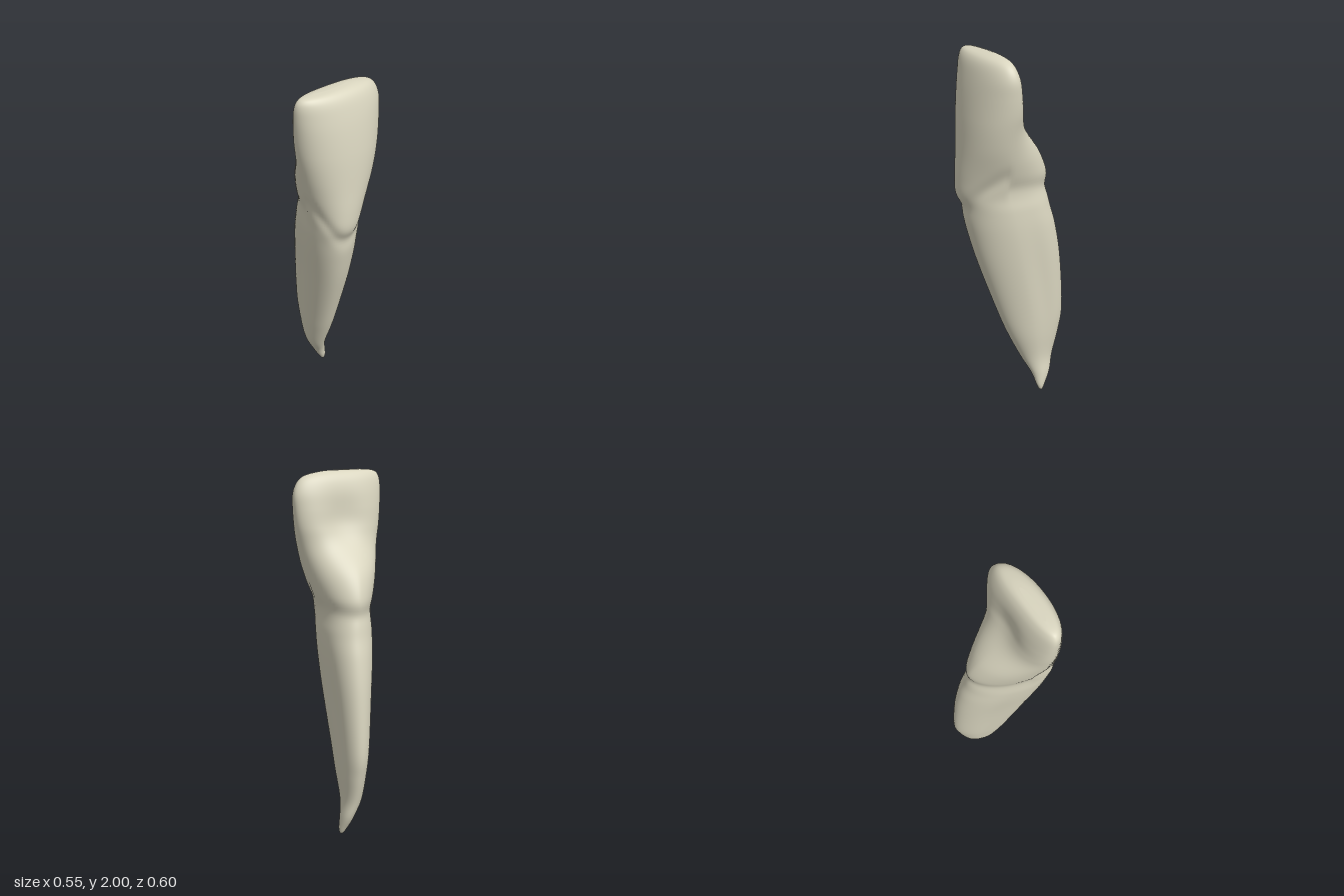
import * as THREE from 'three';

// Outline of the tooth by height: y, min x, max x, back z, front z
const SECTIONS = [
  [0.00, 0.115, 0.135, -0.15, -0.13],
  [0.03, 0.095, 0.14, -0.168, -0.117],
  [0.10, 0.055, 0.137, -0.205, -0.10],
  [0.20, 0.00, 0.127, -0.235, -0.052],
  [0.35, -0.035, 0.14, -0.275, 0.02],
  [0.50, -0.06, 0.15, -0.297, 0.08],
  [0.80, -0.11, 0.165, -0.28, 0.185],
  [1.00, -0.145, 0.17, -0.25, 0.24],
  [1.13, -0.162, 0.165, -0.217, 0.268],
  [1.22, -0.168, 0.157, -0.205, 0.298],
  [1.32, -0.18, 0.175, -0.203, 0.303],
  [1.45, -0.207, 0.207, -0.15, 0.298],
  [1.60, -0.238, 0.24, -0.04, 0.29],
  [1.70, -0.255, 0.26, 0.00, 0.28],
  [1.80, -0.266, 0.27, 0.018, 0.265],
  [1.88, -0.272, 0.27, 0.035, 0.248],
  [1.94, -0.272, 0.245, 0.055, 0.23],
  [1.975, -0.26, 0.20, 0.075, 0.21],
  [1.993, -0.23, 0.12, 0.095, 0.185],
  [2.00, -0.16, 0.05, 0.12, 0.15],
];
const SEGMENTS = 72;
const STEPS = 6;

const bump = (v, centre, width) => Math.exp(-(((v - centre) / width) ** 2));
const { smoothstep, lerp } = THREE.MathUtils;

// Smooth interpolation through the outline
function sectionAt(u) {
  const last = SECTIONS.length - 1;
  const i = Math.min(Math.floor(u), last - 1), t = u - i;
  const at = (k) => SECTIONS[Math.max(0, Math.min(last, k))];
  const [a, b, c, d] = [at(i - 1), at(i), at(i + 1), at(i + 2)];
  return b.map((p, k) => {
    const m0 = (c[k] - a[k]) / 2, m1 = (d[k] - p) / 2;
    const e = c[k] - p;
    return p + t * (m0 + t * (3 * e - 2 * m0 - m1 + t * (m0 + m1 - 2 * e)));
  });
}

function ring([y, x0, x1, back, front]) {
  // Widest depth, back taper and sideways lean change from root to crown
  const mid = lerp(back, front, 0.57 - 0.19 * smoothstep(y, 1.45, 1.75));
  const taper = 1 + 0.2 * bump(y, 1.35, 0.17) - 0.25 * smoothstep(y, 1.55, 1.75);
  const lean = 0.2 * smoothstep(y, 0, 0.15) * (1 - smoothstep(y, 1.2, 1.65));
  const points = [];
  for (let j = 0; j < SEGMENTS; j++) {
    const a = (j / SEGMENTS) * Math.PI * 2;
    const c = Math.cos(a), s = Math.sin(a);
    const power = s > 0 ? 0.95 : taper;
    const z = mid + (s > 0 ? front - mid : mid - back) * s;
    const x = Math.sign(c) * Math.abs(c) ** power * (x1 - x0) / 2 - lean * (z - mid);
    points.push({ x, z, c, s });
  }
  // Fit the leaning section to its width
  const xs = points.map((p) => p.x);
  const lo = Math.min(...xs), hi = Math.max(...xs);
  const cx = (x0 + x1) / 2, cz = (front + back) / 2;
  return points.map(({ x, z, c, s }) => {
    const fitted = lerp(x0, x1, (x - lo) / (hi - lo));
    // Neck groove that rises on both sides
    const neck = 1.14 + (s > 0 ? 0.2 : 0.13) * c * c + (s < 0 ? 0.1 * s * s : 0);
    const pinch = 1 - 0.045 * bump(y, neck, 0.05);
    let px = cx + (fitted - cx) * pinch;
    let pz = cz + (z - cz) * pinch;
    // Shallow hollow behind the biting edge
    if (s < 0) pz += 0.028 * s * s * bump(px, 0.02, 0.12) * bump(y, 1.74, 0.13);
    // Long shallow groove along each root flank
    px -= c * 0.012 * bump(s, -0.35, 0.25) * bump(y, 0.72, 0.35);
    return [px, y, pz];
  });
}

function toothGeometry() {
  const positions = [], index = [];
  const count = (SECTIONS.length - 1) * STEPS;
  for (let i = 0; i <= count; i++) {
    for (const p of ring(sectionAt(i / STEPS))) positions.push(...p);
  }
  for (let i = 0; i < count; i++) {
    for (let j = 0; j < SEGMENTS; j++) {
      const a = i * SEGMENTS + j, b = i * SEGMENTS + (j + 1) % SEGMENTS;
      const c = a + SEGMENTS, d = b + SEGMENTS;
      index.push(a, c, b, b, c, d);
    }
  }
  // Close the root tip and the biting edge
  const bottom = positions.length / 3, top = bottom + 1, start = count * SEGMENTS;
  positions.push(0.125, 0, -0.14, -0.055, 2, 0.135);
  for (let j = 0; j < SEGMENTS; j++) {
    const k = (j + 1) % SEGMENTS;
    index.push(bottom, j, k, top, start + k, start + j);
  }
  const geometry = new THREE.BufferGeometry();
  geometry.setAttribute('position', new THREE.Float32BufferAttribute(positions, 3));
  geometry.setIndex(index);
  geometry.computeVertexNormals();
  return geometry;
}

export function createModel() {
  const group = new THREE.Group();
  group.name = 'incisorTooth';
  const ivory = new THREE.MeshStandardMaterial({ color: 0xd9d5bf });
  ivory.name = 'ivory';
  const tooth = new THREE.Mesh(toothGeometry(), ivory);
  tooth.name = 'crownAndRoot';
  group.add(tooth);
  return group;
}
